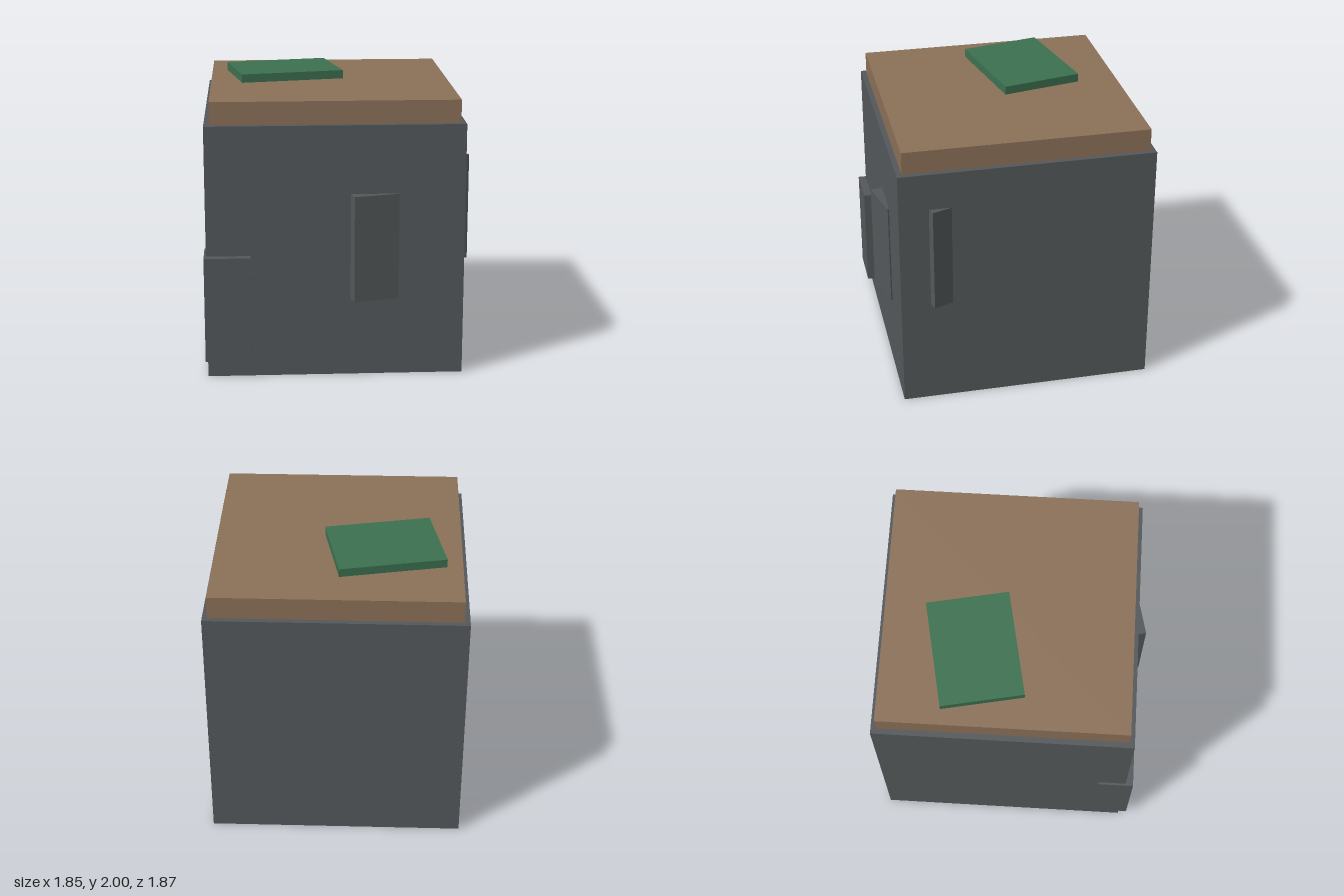
import * as THREE from 'three';

const material = (color) => new THREE.MeshStandardMaterial({ color });

export function createModel() {
  const model = new THREE.Group();
  const stone = material(0x53585a);
  const wood = material(0x8b7058);
  const green = material(0x3c7050);

  // Box placed by its centre in plan and its bottom height, turned about y
  function block(name, mat, [w, h, d], [x, bottom, z], turn = 0) {
    const mesh = new THREE.Mesh(new THREE.BoxGeometry(w, h, d), mat);
    mesh.name = name;
    mesh.position.set(x, bottom + h / 2, z);
    mesh.rotation.y = turn;
    model.add(mesh);
  }

  // Main block, inset lid and the flat tile lying on it
  block('body', stone, [1.78, 1.78, 1.78], [-0.02, 0, -0.045]);
  block('lid', wood, [1.706, 0.16, 1.706], [-0.018, 1.78, -0.045]);
  block('topTile', green, [0.745, 0.06, 0.57], [-0.34, 1.94, -0.262], 0.2);

  // Equal slabs sunk into the walls at different turns
  const slab = [0.32, 0.747, 0.25];
  block('cornerSlab', stone, slab, [-0.765, 0.126, 0.775]);
  block('frontSlab', stone, slab, [0.231, 0.555, 0.771], 0.237);
  block('sideSlab', stone, slab, [0.727, 0.77, 0.558], 0.354);

  return model;
}
